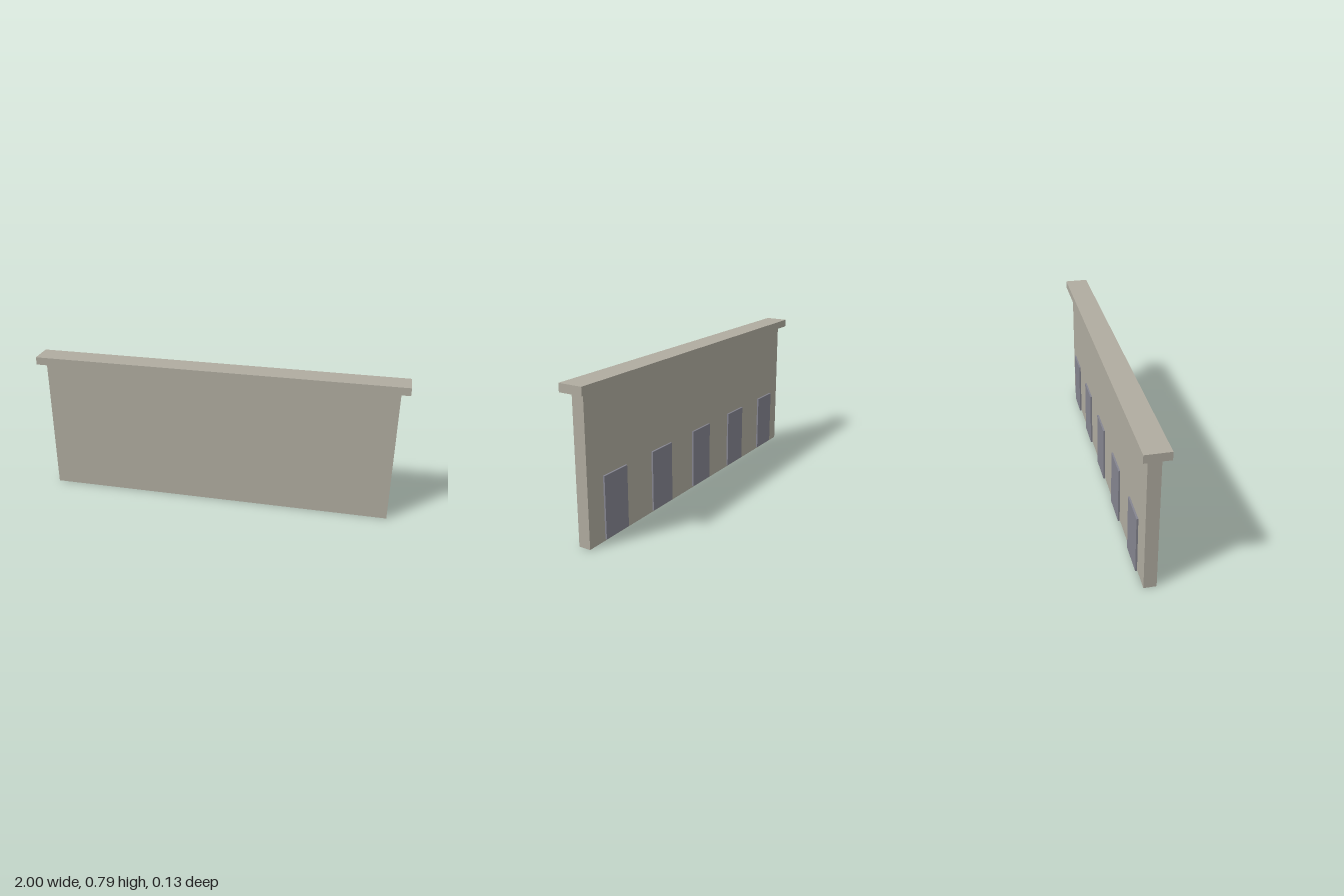
import * as THREE from 'three';

export function createModel() {
  const group = new THREE.Group();
  const stone = new THREE.MeshStandardMaterial({ color: 0xb0aca0 });
  const slate = new THREE.MeshStandardMaterial({ color: 0x858590 });

  const addBox = (name, size, position, material) => {
    const mesh = new THREE.Mesh(new THREE.BoxGeometry(...size), material);
    mesh.name = name;
    mesh.position.set(...position);
    group.add(mesh);
  };

  // Wall slab and overhanging coping
  addBox('wall', [1.91, 0.746, 0.064], [0, 0.373, 0], stone);
  addBox('coping', [2, 0.042, 0.128], [0, 0.767, 0], stone);

  // Five evenly spaced panels, standing just clear of the back face
  for (let i = -2; i <= 2; i++) {
    addBox(`panel${i + 3}`, [0.171, 0.319, 0.009], [i * 0.382, 0.1715, -0.0417], slate);
  }
  return group;
}
